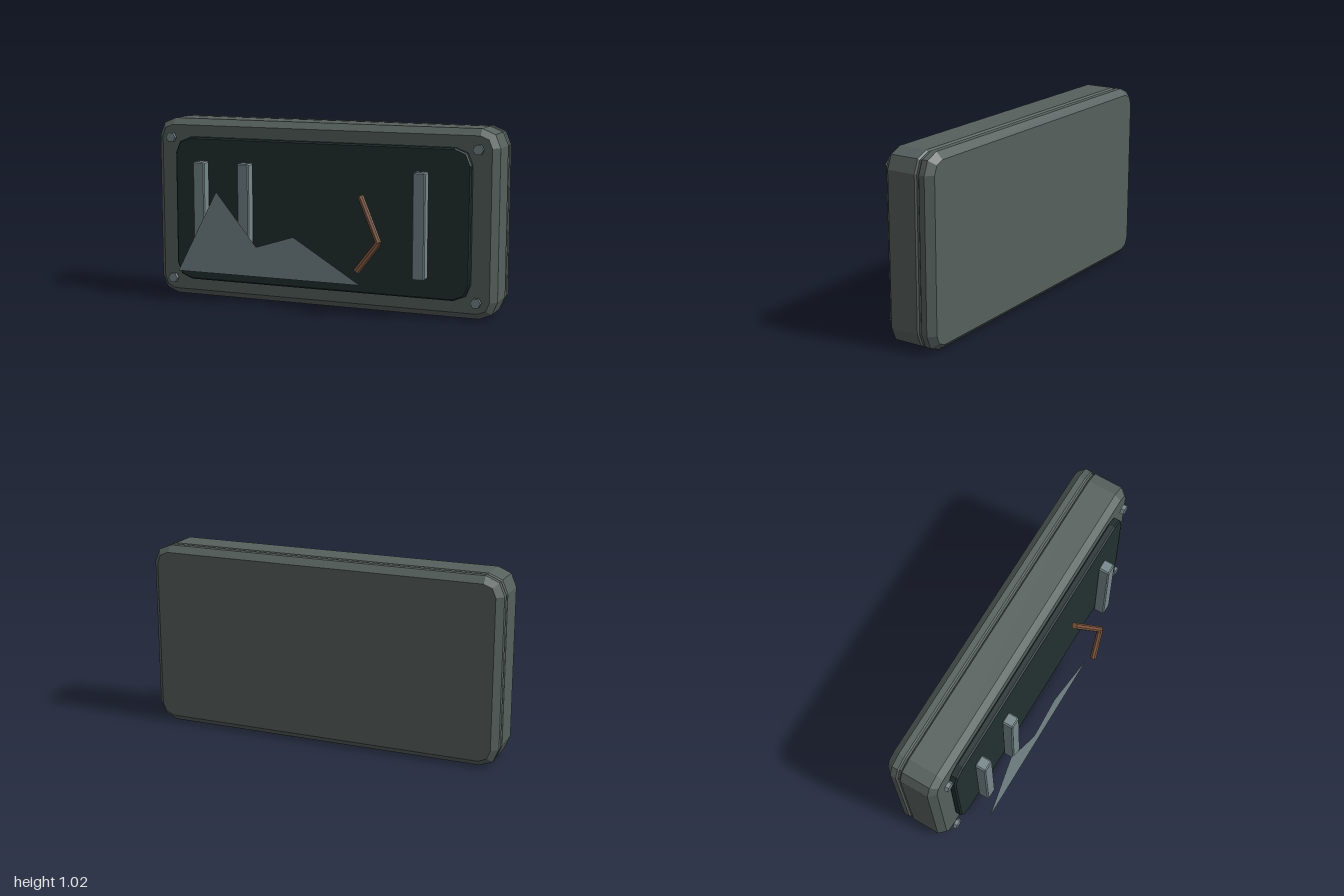
import * as THREE from 'three';

// Outline of a rectangle with faceted round corners, counter-clockwise
function roundedRing(w, h, r, seg) {
  const pts = [];
  const corners = [[1, 1], [-1, 1], [-1, -1], [1, -1]];
  corners.forEach(([sx, sy], c) => {
    for (let i = 0; i <= seg; i++) {
      const a = (c + i / seg) * Math.PI / 2;
      pts.push([sx * (w / 2 - r) + r * Math.cos(a), sy * (h / 2 - r) + r * Math.sin(a)]);
    }
  });
  return pts;
}

// Flat-shaded slab lofted from back to front through [z, inset] sections
function slab(w, h, r, seg, sections) {
  const rings = sections.map(([z, inset]) =>
    roundedRing(w - 2 * inset, h - 2 * inset, Math.max(r - inset, 0.002), seg).map(([x, y]) => [x, y, z]));
  const n = rings[0].length;
  const pos = [];
  const tri = (a, b, c) => pos.push(...a, ...b, ...c);
  for (let k = 0; k < rings.length - 1; k++) {
    for (let i = 0; i < n; i++) {
      const j = (i + 1) % n;
      tri(rings[k][i], rings[k][j], rings[k + 1][j]);
      tri(rings[k][i], rings[k + 1][j], rings[k + 1][i]);
    }
  }
  const back = rings[0], front = rings[rings.length - 1];
  for (let i = 1; i < n - 1; i++) {
    tri(back[0], back[i + 1], back[i]);
    tri(front[0], front[i], front[i + 1]);
  }
  const geo = new THREE.BufferGeometry();
  geo.setAttribute('position', new THREE.Float32BufferAttribute(pos, 3));
  geo.computeVertexNormals();
  return geo;
}

export function createModel() {
  const group = new THREE.Group();
  const material = (name, color) => {
    const m = new THREE.MeshStandardMaterial({ color });
    m.name = name;
    return m;
  };
  const casing = material('casing grey', 0x56605d);
  const dark = material('dark panel', 0x222f2f);
  const pale = material('pale grey', 0x75868a);
  const wood = material('brown wood', 0x7b543d);

  const add = (name, geo, mat, x = 0, y = 0, z = 0) => {
    const mesh = new THREE.Mesh(geo, mat);
    mesh.name = name;
    mesh.position.set(x, y, z);
    group.add(mesh);
    return mesh;
  };

  // Chamfered casing with a seam groove near the back
  add('casing', slab(2, 1.018, 0.1, 2, [
    [-0.262, 0.035], [-0.226, 0], [-0.194, 0], [-0.186, 0.009],
    [-0.175, 0.009], [-0.167, 0], [-0.006, 0], [0.03, 0.035],
  ]), casing, 0, 0.509);

  // Dark face panel
  add('facePanel', slab(1.73, 0.815, 0.09, 2, [
    [0.028, 0.006], [0.036, 0], [0.062, 0], [0.07, 0.008],
  ]), dark, 0, 0.511);

  // Hexagonal corner screws
  const screw = new THREE.CylinderGeometry(0.029, 0.029, 0.021, 6).toNonIndexed();
  screw.rotateY(Math.PI / 2);
  screw.rotateX(Math.PI / 2);
  screw.computeVertexNormals();
  for (const x of [-0.898, 0.898]) {
    for (const y of [0.1, 0.912]) add('cornerScrew', screw, pale, x, y, 0.0565);
  }

  // Upright bars
  const bar = slab(0.07, 0.575, 0.008, 1, [
    [0.09, 0.006], [0.096, 0], [0.148, 0], [0.154, 0.006],
  ]);
  for (const x of [-0.679, -0.408, 0.607]) add('uprightBar', bar, pale, x, 0.504);

  // Flat mountain silhouette
  const ridge = new THREE.Shape([
    [-0.785, 0.178], [0.302, 0.178], [-0.085, 0.413], [-0.305, 0.343], [-0.545, 0.637],
  ].map(([x, y]) => new THREE.Vector2(x, y)));
  const paleSheet = pale.clone();
  paleSheet.side = THREE.DoubleSide;
  add('mountainSilhouette', new THREE.ShapeGeometry(ridge), paleSheet, 0, 0, 0.205);

  // Bent twig of two rods
  const rod = (name, from, to, r0, r1) => {
    const a = new THREE.Vector3(...from), b = new THREE.Vector3(...to);
    const dir = b.clone().sub(a);
    const geo = new THREE.CylinderGeometry(r1, r0, dir.length(), 8).toNonIndexed();
    geo.computeVertexNormals();
    const mid = a.add(b).multiplyScalar(0.5);
    const mesh = add(name, geo, wood, mid.x, mid.y, mid.z);
    mesh.quaternion.setFromUnitVectors(new THREE.Vector3(0, 1, 0), dir.normalize());
  };
  rod('upperTwig', [0.41, 0.412, 0.216], [0.272, 0.643, 0.12], 0.017, 0.018);
  rod('lowerTwig', [0.294, 0.26, 0.243], [0.408, 0.416, 0.216], 0.019, 0.017);

  return group;
}
